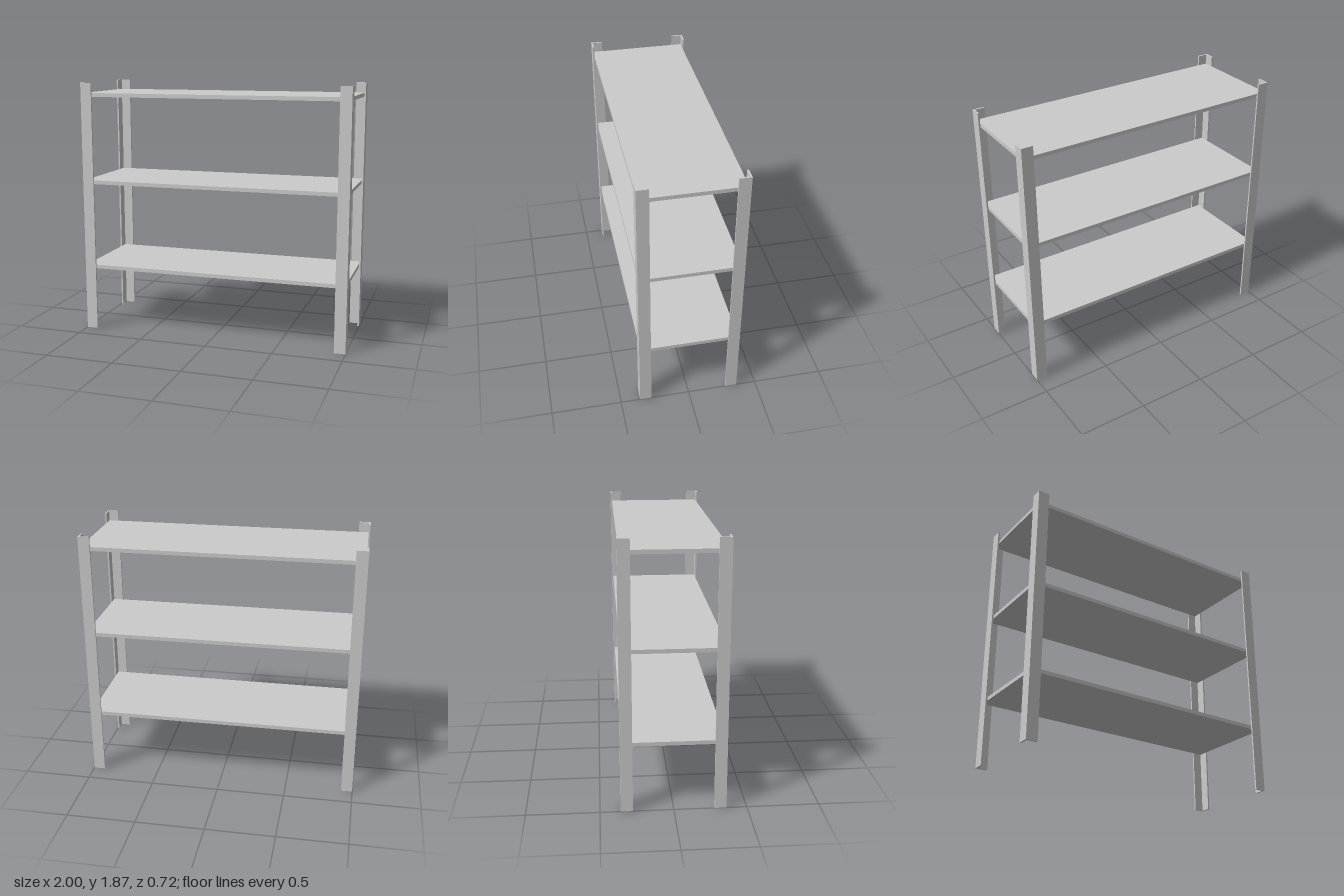
import * as THREE from 'three';

const W = 1, D = 0.36;      // half width and half depth
const H = 1.87;             // post height
const LEG = 0.083, T = 0.012; // angle-iron flange width and sheet thickness

export function createModel() {
  const group = new THREE.Group();
  group.name = 'shelvingUnit';
  const material = new THREE.MeshStandardMaterial({ color: 0xcccccc, flatShading: true });

  // L-shaped corner posts, the profile mirrored into each corner
  const profile = [[W, D], [W - LEG, D], [W - LEG, D - T], [W - T, D - T], [W - T, D - LEG], [W, D - LEG]];
  for (const sx of [1, -1]) for (const sz of [1, -1]) {
    const shape = new THREE.Shape(profile.map(([x, z]) => new THREE.Vector2(sx * x, -sz * z)));
    const geometry = new THREE.ExtrudeGeometry(shape, { depth: H, bevelEnabled: false });
    geometry.rotateX(-Math.PI / 2);
    const post = new THREE.Mesh(geometry, material);
    post.name = `${sz > 0 ? 'front' : 'back'}${sx > 0 ? 'Left' : 'Right'}Post`;
    group.add(post);
  }

  // Shelves fitted inside the posts
  const thickness = 0.028;
  const shelfGeometry = new THREE.BoxGeometry(2 * (W - T), thickness, 2 * (D - T));
  ['lowerShelf', 'middleShelf', 'topShelf'].forEach((name, i) => {
    const shelf = new THREE.Mesh(shelfGeometry, material);
    shelf.name = name;
    shelf.position.y = 0.5 + i * 0.648 - thickness / 2;
    group.add(shelf);
  });

  return group;
}
